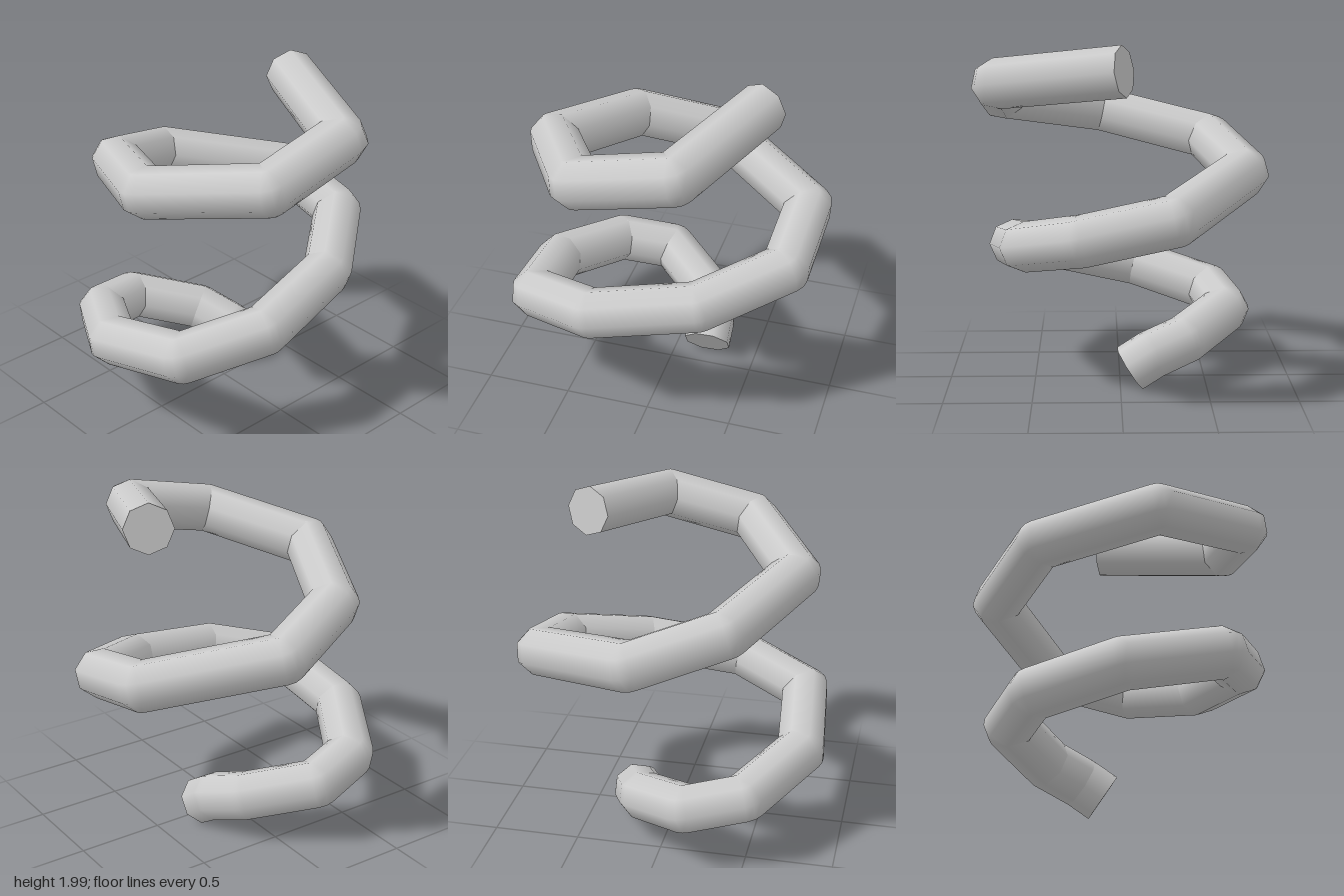
import * as THREE from 'three';

const SIDES = 8;
const RADIUS = 0.143;

// Centre line of the coil, from the small inner hook at the bottom to the free end on top
const PATH = [
  [-0.055, 0.12, -0.215], [-0.18, 0.20, -0.21], [-0.38, 0.27, -0.13], [-0.64, 0.37, 0.18],
  [-0.56, 0.43, 0.49], [-0.12, 0.53, 0.75], [0.43, 0.66, 0.70], [0.64, 0.76, 0.28],
  [0.54, 0.86, -0.31], [0.21, 0.98, -0.73], [-0.28, 1.09, -0.75], [-0.71, 1.25, -0.12],
  [-0.53, 1.40, 0.36], [0.10, 1.53, 0.66], [0.69, 1.65, 0.32], [0.69, 1.77, -0.22],
  [-0.015, 1.86, -0.52],
].map((p) => new THREE.Vector3(...p));

// Straight runs joined by elbows: each bend pivots the cross-section about its centre in two steps
function makeStations() {
  const dirs = PATH.slice(1).map((p, i) => p.clone().sub(PATH[i]).normalize());
  const stations = [{ centre: PATH[0], dir: dirs[0] }];
  for (let i = 1; i < dirs.length; i++) {
    const middle = dirs[i - 1].clone().add(dirs[i]).normalize();
    for (const dir of [dirs[i - 1], middle, dirs[i]]) stations.push({ centre: PATH[i], dir });
  }
  stations.push({ centre: PATH[PATH.length - 1], dir: dirs[dirs.length - 1] });
  return stations;
}

function makeCoilGeometry() {
  const positions = [], normals = [], index = [];
  const addVertex = (p, n) => {
    positions.push(p.x, p.y, p.z);
    normals.push(n.x, n.y, n.z);
    return positions.length / 3 - 1;
  };

  // Rings, with the frame carried along the path without twist
  const stations = makeStations();
  const side = new THREE.Vector3(0, 0, 1);
  const turn = new THREE.Quaternion();
  const rings = stations.map(({ centre, dir }, i) => {
    if (i > 0) side.applyQuaternion(turn.setFromUnitVectors(stations[i - 1].dir, dir));
    side.addScaledVector(dir, -side.dot(dir)).normalize();
    const up = dir.clone().cross(side);
    return Array.from({ length: SIDES }, (_, j) => {
      const a = ((j + 0.5) / SIDES) * Math.PI * 2;
      const n = side.clone().multiplyScalar(Math.cos(a)).addScaledVector(up, Math.sin(a));
      const point = centre.clone().addScaledVector(n, RADIUS);
      return { point, id: addVertex(point, n) };
    });
  });

  // Wall
  for (let i = 0; i < rings.length - 1; i++) {
    for (let j = 0; j < SIDES; j++) {
      const k = (j + 1) % SIDES;
      const a = rings[i][j].id, b = rings[i][k].id;
      const c = rings[i + 1][j].id, d = rings[i + 1][k].id;
      index.push(a, b, c, b, d, c);
    }
  }

  // Flat end caps
  const addCap = (station, ring, sign) => {
    const n = station.dir.clone().multiplyScalar(sign);
    const hub = addVertex(station.centre, n);
    const rim = ring.map((v) => addVertex(v.point, n));
    for (let j = 0; j < SIDES; j++) {
      const k = (j + 1) % SIDES;
      if (sign > 0) index.push(hub, rim[j], rim[k]);
      else index.push(hub, rim[k], rim[j]);
    }
  };
  addCap(stations[0], rings[0], -1);
  addCap(stations[stations.length - 1], rings[rings.length - 1], 1);

  const geometry = new THREE.BufferGeometry();
  geometry.setAttribute('position', new THREE.Float32BufferAttribute(positions, 3));
  geometry.setAttribute('normal', new THREE.Float32BufferAttribute(normals, 3));
  geometry.setIndex(index);
  return geometry;
}

export function createModel() {
  const group = new THREE.Group();
  group.name = 'spiralCoil';
  const coil = new THREE.Mesh(makeCoilGeometry(), new THREE.MeshStandardMaterial({ color: 0xcccccc }));
  coil.name = 'coilTube';
  group.add(coil);
  return group;
}
